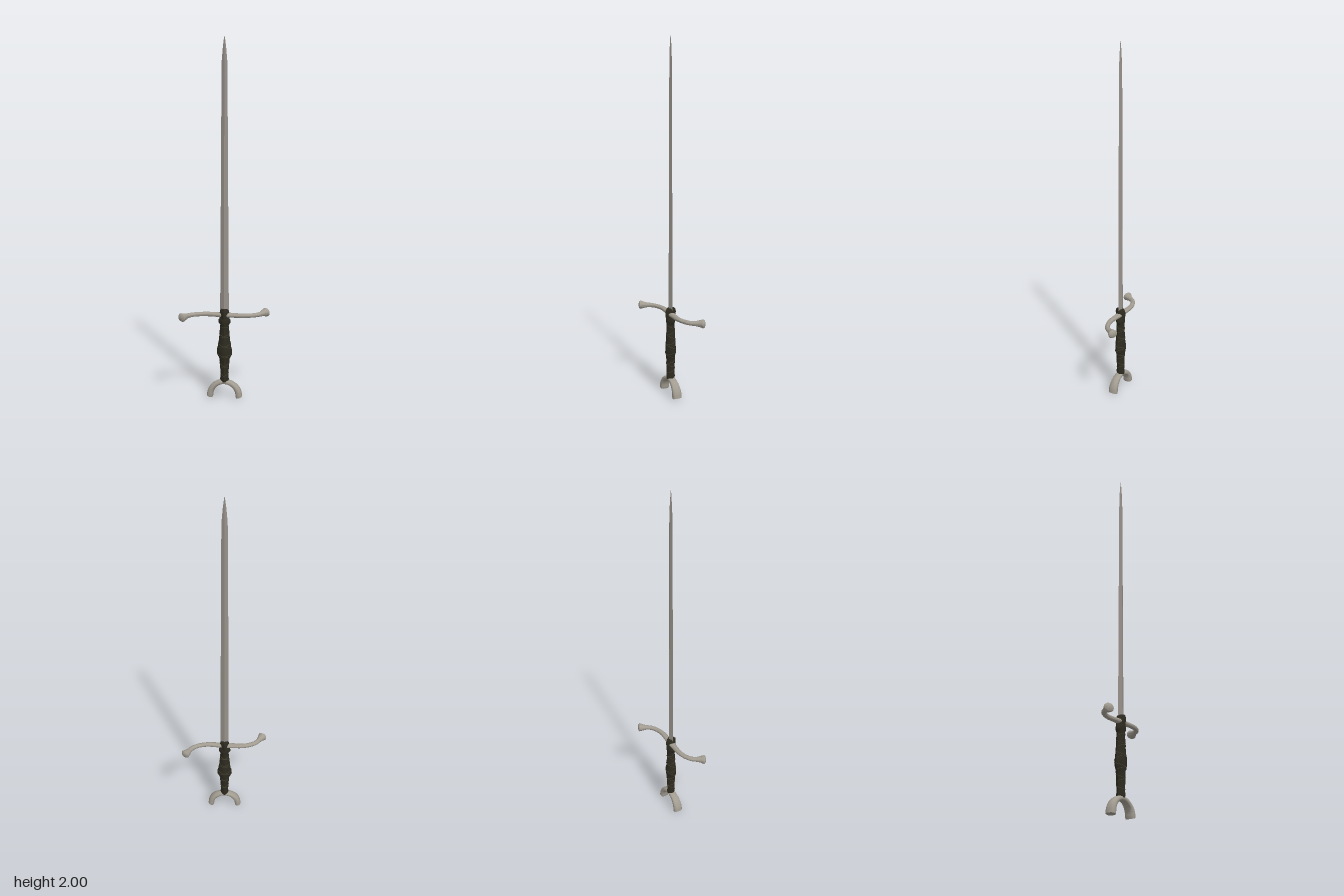
import * as THREE from 'three';
import { toCreasedNormals } from 'three/addons/utils/BufferGeometryUtils.js';

// Sweeps a superellipse section along stations [x, y, z, halfNormal, halfBinormal].
// power 1 gives a diamond, 2 an ellipse.
function sweep(stations, binormal, { steps = 0, sides = 12, power = 2, crease = 0.6 } = {}) {
  const pts = stations.map((s) => new THREE.Vector3(s[0], s[1], s[2]));
  const count = steps || stations.length - 1;
  const curve = new THREE.CatmullRomCurve3(pts);
  const rings = [];
  for (let i = 0; i <= count; i++) {
    const u = i / count, f = u * (stations.length - 1);
    const k = Math.min(Math.floor(f + 1e-9), stations.length - 2), m = f - k;
    const size = (n) => THREE.MathUtils.lerp(stations[k][n], stations[k + 1][n], m);
    const c = curve.getPoint(u), normal = binormal.clone().cross(curve.getTangent(u)).normalize();
    rings.push({ c, normal, a: size(3), b: size(4) });
  }
  const pos = [], index = [];
  const shape = (v) => Math.sign(v) * Math.pow(Math.abs(v) < 1e-6 ? 0 : Math.abs(v), 2 / power);
  for (const r of rings) {
    for (let j = 0; j < sides; j++) {
      const t = (j / sides) * Math.PI * 2;
      const p = r.c.clone()
        .addScaledVector(r.normal, r.a * shape(Math.cos(t)))
        .addScaledVector(binormal, r.b * shape(Math.sin(t)));
      pos.push(p.x, p.y, p.z);
    }
  }
  for (let i = 0; i < count; i++) {
    for (let j = 0; j < sides; j++) {
      const a = i * sides + j, b = i * sides + ((j + 1) % sides);
      index.push(a, b, b + sides, a, b + sides, a + sides);
    }
  }
  // end caps
  const first = pos.length / 3, last = first + 1, top = count * sides;
  const c0 = rings[0].c, c1 = rings[count].c;
  pos.push(c0.x, c0.y, c0.z, c1.x, c1.y, c1.z);
  for (let j = 0; j < sides; j++) {
    const n = (j + 1) % sides;
    index.push(first, n, j, last, top + j, top + n);
  }
  const geo = new THREE.BufferGeometry();
  geo.setAttribute('position', new THREE.Float32BufferAttribute(pos, 3));
  geo.setIndex(index);
  return toCreasedNormals(geo, crease);
}

export function createModel() {
  const group = new THREE.Group();
  const steel = new THREE.MeshStandardMaterial({ color: 0x969089 });
  steel.name = 'blade steel';
  const pale = new THREE.MeshStandardMaterial({ color: 0xa29c91 });
  pale.name = 'pale metal';
  const dark = new THREE.MeshStandardMaterial({ color: 0x2d2b20 });
  dark.name = 'dark grip';
  const olive = new THREE.MeshStandardMaterial({ color: 0x45412f });
  olive.name = 'grip ornament';
  const X = new THREE.Vector3(1, 0, 0), Y = new THREE.Vector3(0, 1, 0), Z = new THREE.Vector3(0, 0, 1);

  const add = (name, geo, mat) => {
    const mesh = new THREE.Mesh(geo, mat);
    mesh.name = name;
    group.add(mesh);
    return mesh;
  };
  // upright part from [y, halfWidth, halfDepth]
  const upright = (profile, options) =>
    sweep(profile.map(([y, w, d]) => [0, y, 0, d, w]), X, options);

  // Blade: slim diamond section with a short point
  add('blade', upright([
    [0.47, 0.025, 0.013], [0.8, 0.0225, 0.0115], [1.3, 0.0195, 0.0095],
    [1.75, 0.0165, 0.008], [1.87, 0.015, 0.0075], [1.94, 0.009, 0.005],
    [1.985, 0.003, 0.002], [2, 0.0005, 0.0005],
  ], { sides: 4, power: 2, crease: 0.3 }), steel);

  // Grip: swelling below the middle, ringed at the top
  const grip = [
    [0.09, 0.023, 0.024], [0.105, 0.025, 0.027], [0.12, 0.022, 0.024], [0.19, 0.026, 0.026],
    [0.225, 0.029, 0.027], [0.25, 0.043, 0.031], [0.275, 0.043, 0.031], [0.3, 0.037, 0.029],
    [0.34, 0.031, 0.027], [0.39, 0.027, 0.025], [0.42, 0.024, 0.024], [0.435, 0.034, 0.028],
    [0.45, 0.034, 0.028], [0.462, 0.026, 0.026],
  ];
  const gripPower = 1.5;
  add('grip', upright(grip, { sides: 16, power: gripPower }), dark);

  // Collar where the blade leaves the guard
  add('collar', upright([
    [0.455, 0.028, 0.03], [0.49, 0.028, 0.033], [0.505, 0.024, 0.03], [0.514, 0.019, 0.022],
  ], { sides: 8, power: 1.2 }), dark);

  // Crossed cords winding over the grip
  const gripPoint = (y, t) => {
    let k = 0;
    while (k < grip.length - 2 && grip[k + 1][0] < y) k++;
    const m = (y - grip[k][0]) / (grip[k + 1][0] - grip[k][0]);
    const size = (n) => THREE.MathUtils.lerp(grip[k][n], grip[k + 1][n], m);
    const s = (v) => Math.sign(v) * Math.pow(Math.abs(v), 2 / gripPower);
    return new THREE.Vector3(size(1) * s(Math.cos(t)), y, size(2) * s(Math.sin(t)));
  };
  for (const dir of [-1, 1]) {
    const path = [];
    for (let i = 0; i <= 110; i++) {
      path.push(gripPoint(0.125 + (0.29 * i) / 110, dir * (i / 110) * Math.PI * 10 + Math.PI / 2));
    }
    const cord = new THREE.TubeGeometry(new THREE.CatmullRomCurve3(path), 220, 0.0017, 5);
    add(dir > 0 ? 'leftCord' : 'rightCord', cord, olive);
  }

  // Guard: flat S curve with flared, domed ends
  const half = [
    [0.05, 0.002, 0.0165, 0.013], [0.1, 0.003, 0.0145, 0.0125], [0.145, -0.007, 0.0135, 0.012],
    [0.182, -0.027, 0.0135, 0.012], [0.204, -0.054, 0.0145, 0.014], [0.216, -0.075, 0.021, 0.02],
    [0.225, -0.088, 0.027, 0.0245], [0.2285, -0.094, 0.02, 0.019], [0.23, -0.097, 0.009, 0.009],
  ];
  const right = half.map(([x, z, a, b]) => [x, 0.478, z, a, b]);
  const left = half.map(([x, z, a, b]) => [-x, 0.478, -z, a, b]).reverse();
  add('guard', sweep([...left, [0, 0.478, 0, 0.02, 0.014], ...right], Y, { steps: 72, sides: 16, crease: 0.9 }), pale);

  // Pommel: downward-opening arch, broadening to its feet
  const arch = [];
  for (let i = 0; i <= 24; i++) {
    const t = Math.PI * (1 - i / 24), flare = Math.abs(Math.cos(t)) ** 2;
    arch.push([0.082 * Math.cos(t), 0.008 + 0.079 * Math.sin(t), 0, 0.0125 + 0.0055 * flare, 0.021 + 0.006 * flare]);
  }
  arch.unshift([-0.084, 0.001, 0, 0.0175, 0.026]);
  arch.push([0.084, 0.001, 0, 0.0175, 0.026]);
  add('pommelArch', sweep(arch, Z, { sides: 16, power: 2.6, crease: 0.8 }), pale);

  return group;
}
